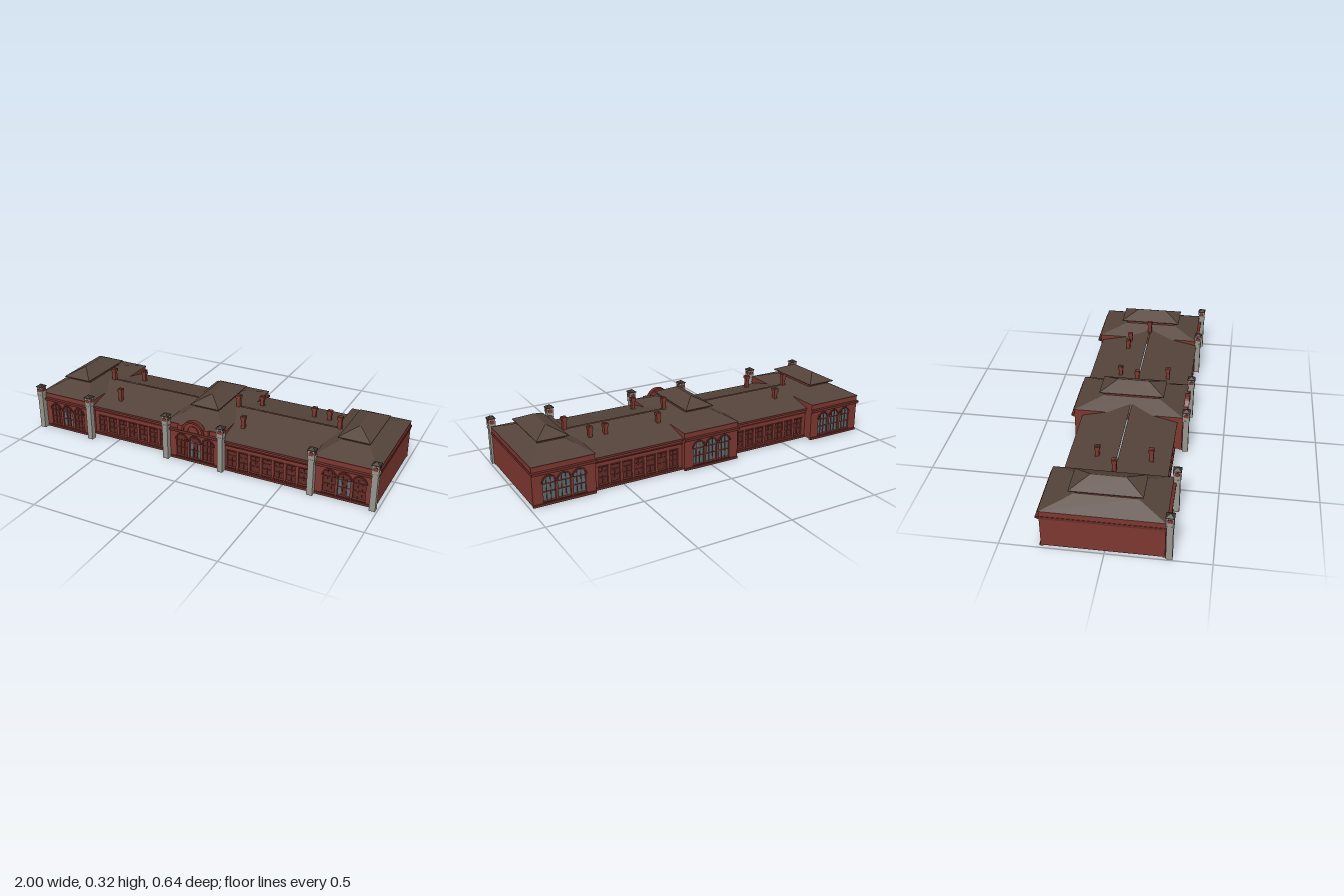
import * as THREE from 'three';

const mat = (color, side = THREE.FrontSide) => new THREE.MeshStandardMaterial({ color, side });
const BRICK = mat(0x7c372f), TRIM = mat(0x6a2d27), PANE = mat(0x5e2a25, THREE.DoubleSide);
const ROOF = mat(0x54433a, THREE.DoubleSide), STONE = mat(0x98958e), GLASS = mat(0x5a6a70, THREE.DoubleSide);
const CAP = mat(0x40332e);

function add(parent, name, geo, material, x = 0, y = 0, z = 0) {
  const m = new THREE.Mesh(geo, material);
  m.name = name;
  m.position.set(x, y, z);
  parent.add(m);
  return m;
}

// box given by its centre in x and z and by its bottom in y
const box = (p, name, material, w, h, d, x, y, z) =>
  add(p, name, new THREE.BoxGeometry(w, h, d), material, x, y + h / 2, z);

function group(parent, name, x = 0, y = 0, z = 0) {
  const g = new THREE.Group();
  g.name = name;
  g.position.set(x, y, z);
  parent.add(g);
  return g;
}

const extrude = (shape, depth) =>
  new THREE.ExtrudeGeometry(shape, { depth, bevelEnabled: false, curveSegments: 10 });

// flat-sided surface through a stack of rectangles [x0, x1, z0, z1, y]
function loft(rects) {
  const pos = [];
  const corners = ([x0, x1, z0, z1, y]) => [[x0, y, z1], [x1, y, z1], [x1, y, z0], [x0, y, z0]];
  for (let i = 0; i < rects.length - 1; i++) {
    const a = corners(rects[i]), b = corners(rects[i + 1]);
    for (let k = 0; k < 4; k++) {
      const n = (k + 1) % 4;
      pos.push(...a[k], ...a[n], ...b[n], ...a[k], ...b[n], ...b[k]);
    }
  }
  const g = new THREE.BufferGeometry();
  g.setAttribute('position', new THREE.Float32BufferAttribute(pos, 3));
  g.computeVertexNormals();
  return g;
}

// rectangular or round-headed outline
function opening(Type, x, w, y0, y1, arched) {
  const s = new Type(), r = w / 2;
  s.moveTo(x - r, y0);
  s.lineTo(x + r, y0);
  if (arched) {
    s.lineTo(x + r, y1 - r);
    s.absarc(x, y1 - r, r, 0, Math.PI, false);
  } else {
    s.lineTo(x + r, y1);
    s.lineTo(x - r, y1);
  }
  s.closePath();
  return s;
}

// half-round moulding
function archRing(r0, r1, depth) {
  const s = new THREE.Shape();
  s.absarc(0, 0, r1, 0, Math.PI, false);
  s.absarc(0, 0, r0, Math.PI, 0, true);
  s.closePath();
  return extrude(s, depth);
}

// wall with a row of windows; outer face on local z = 0
function facade(parent, name, x, z, width, height, back, win) {
  const g = group(parent, name, x, 0, z);
  if (back) g.rotation.y = Math.PI;
  const { count, step, w, y0, y1, arched, pane } = win;
  const wall = new THREE.Shape();
  wall.moveTo(-width / 2, 0);
  wall.lineTo(width / 2, 0);
  wall.lineTo(width / 2, height);
  wall.lineTo(-width / 2, height);
  wall.closePath();
  for (let i = 0; i < count; i++) {
    const cx = (i - (count - 1) / 2) * step;
    wall.holes.push(opening(THREE.Path, cx, w, y0, y1, arched));
    add(g, 'windowPane', new THREE.ShapeGeometry(opening(THREE.Shape, cx, w, y0, y1, arched)), pane, 0, 0, -0.009);
    // mullions, transoms and sill
    const top = arched ? y1 - 0.004 : y1;
    for (const dx of arched ? [-w / 6, w / 6] : [0])
      box(g, 'mullion', TRIM, 0.004, top - y0, 0.004, cx + dx, y0, -0.007);
    for (const t of [0.33, 0.66])
      box(g, 'transom', TRIM, w, 0.004, 0.004, cx, y0 + (y1 - y0) * t, -0.007);
    box(g, 'sill', TRIM, w + 0.006, 0.005, 0.008, cx, y0 - 0.005, 0.002);
    if (arched) add(g, 'hoodMould', archRing(w / 2, w / 2 + 0.007, 0.006), TRIM, cx, y1 - w / 2, 0);
    else box(g, 'lintel', TRIM, w + 0.006, 0.006, 0.006, cx, y1, 0.002);
  }
  add(g, 'wall', extrude(wall, 0.012), BRICK, 0, 0, -0.012);
  box(g, 'plinth', TRIM, width, 0.012, 0.006, 0, 0, 0.003);
  return g;
}

// end or centre block with a two-tier hipped roof
function pavilion(parent, x) {
  const g = group(parent, 'pavilion', x);
  const half = 0.163, zf = 0.28, zb = -0.3, len = zf - zb, zc = (zf + zb) / 2;
  const win = { count: 3, step: 0.078, w: 0.064, y0: 0.022, y1: 0.148, arched: true };
  for (const back of [false, true]) {
    const f = facade(g, back ? 'backFacade' : 'frontFacade', 0, back ? zb : zf, half * 2, 0.21, back,
      { ...win, pane: back ? GLASS : PANE });
    box(f, 'lowerCornice', TRIM, half * 2, 0.006, 0.012, 0, 0.164, 0.006);
    box(f, 'upperCornice', TRIM, half * 2 + 0.006, 0.01, 0.017, 0, 0.17, 0.0085);
    box(f, 'coping', TRIM, half * 2, 0.005, 0.006, 0, 0.205, 0.002);
    // narrow glazed strips beside the middle front window
    if (!back) for (const s of [-1, 1]) box(f, 'sideGlass', GLASS, 0.016, 0.095, 0.002, s * 0.039 - s * 0.016, 0.022, -0.0085);
  }
  return { g, half, len, zc };
}

function pavilionRoof(g) {
  add(g, 'lowerRoof', loft([[-0.165, 0.165, -0.302, 0.282, 0.21], [-0.07, 0.07, -0.15, 0.145, 0.257]]), ROOF);
  box(g, 'clerestory', BRICK, 0.14, 0.02, 0.295, 0, 0.255, -0.0025);
  add(g, 'upperRoof', loft([[-0.065, 0.065, -0.15, 0.145, 0.274], [-0.083, 0.083, -0.178, 0.17, 0.273],
    [-0.083, 0.083, -0.178, 0.17, 0.277], [-0.003, 0.003, -0.09, 0.083, 0.318], [0, 0, 0, 0, 0.318]]), ROOF);
}

// low wing with a gabled roof running into the pavilions
function wing(parent, x0, x1, zf, zb) {
  const g = group(parent, 'wing');
  const cx = (x0 + x1) / 2, w = x1 - x0;
  const win = { count: 7, step: 0.066, w: 0.05, y0: 0.025, y1: 0.118, arched: false, pane: PANE };
  for (const back of [false, true]) {
    const f = facade(g, back ? 'backWall' : 'frontWall', cx, back ? zb : zf, w, 0.175, back, win);
    box(f, 'stringCourse', TRIM, w, 0.005, 0.006, 0, 0.145, 0.003);
    box(f, 'eavesCornice', TRIM, w, 0.012, 0.012, 0, 0.165, 0.006);
  }
  add(g, 'wingRoof', loft([[x0 - 0.065, x1 + 0.065, zb - 0.013, zf + 0.013, 0.177],
    [x0 - 0.065, x1 + 0.065, -0.003, 0.003, 0.238]]), ROOF);
}

// stone pier with a niched head and pyramid cap
function pier(parent, x) {
  const g = group(parent, 'cornerPier', x, 0, 0.299);
  box(g, 'shaft', STONE, 0.031, 0.2, 0.031, 0, 0, 0);
  box(g, 'collar', STONE, 0.038, 0.006, 0.038, 0, 0.196, 0);
  box(g, 'head', STONE, 0.036, 0.05, 0.036, 0, 0.2, 0);
  for (let i = 0; i < 4; i++) {
    const side = group(g, 'nicheSide');
    side.rotation.y = i * Math.PI / 2;
    add(side, 'niche', new THREE.ShapeGeometry(opening(THREE.Shape, 0, 0.024, 0.222, 0.243, true)), BRICK, 0, 0, 0.0185);
    add(side, 'nicheArch', archRing(0.01, 0.013, 0.002), TRIM, 0, 0.231, 0.018);
  }
  box(g, 'capSlab', CAP, 0.042, 0.004, 0.042, 0, 0.249, 0);
  add(g, 'cap', loft([[-0.021, 0.021, -0.021, 0.021, 0.253], [0, 0, 0, 0, 0.266]]), CAP);
}

function chimney(parent, x, z, top) {
  const g = group(parent, 'chimney', x, 0, z);
  box(g, 'stack', BRICK, 0.02, top - 0.195, 0.02, 0, 0.195, 0);
  box(g, 'stackHead', BRICK, 0.027, 0.016, 0.027, 0, top - 0.018, 0);
  box(g, 'flue', CAP, 0.018, 0.003, 0.018, 0, top - 0.003, 0);
}

// round gable above the middle entrance
function pediment(parent) {
  const g = group(parent, 'pediment', -0.004, 0.183, 0.28);
  box(g, 'shoulders', BRICK, 0.18, 0.028, 0.018, 0, 0, 0.009);
  const disc = new THREE.Shape();
  disc.absarc(0, 0, 0.062, 0, Math.PI, false);
  disc.closePath();
  add(g, 'gable', extrude(disc, 0.018), BRICK);
  add(g, 'outerArch', archRing(0.054, 0.066, 0.026), TRIM, 0, 0, -0.002);
  add(g, 'innerArch', archRing(0.028, 0.034, 0.005), TRIM, 0, 0.004, 0.018);
}

export function createModel() {
  const model = new THREE.Group();
  model.name = 'longBrickBuilding';

  for (const x of [-0.823, -0.003, 0.82]) {
    const { g, half, len, zc } = pavilion(model, x);
    for (const s of [-1, 1]) {
      // full end walls outside, short returns above and beside the wings inside
      const outer = s * x > 0.5;
      if (outer) {
        box(g, 'endWall', BRICK, 0.01, 0.205, len, s * (half - 0.005), 0.005, zc);
        box(g, 'endBand', TRIM, 0.004, 0.015, len, s * half, 0.165, zc);
      } else {
        box(g, 'upperSideWall', BRICK, 0.01, 0.04, len, s * (half - 0.005), 0.17, zc);
        for (const [z, d] of [[0.255, 0.05], [-0.27, 0.06]])
          box(g, 'sideReturn', BRICK, 0.01, 0.205, d, s * (half - 0.005), 0.005, z);
      }
    }
    pavilionRoof(g);
  }

  wing(model, -0.662, -0.164, 0.24, -0.245);
  wing(model, 0.158, 0.659, 0.277, -0.276);
  pediment(model);

  for (const x of [-0.979, -0.652, -0.164, 0.16, 0.656, 0.977]) pier(model, x);

  for (const [x, z, top] of [[-0.68, 0, 0.305], [-0.545, -0.107, 0.272], [-0.535, 0.16, 0.272],
    [0.118, 0, 0.305], [0.21, -0.107, 0.272], [0.222, 0.16, 0.272],
    [0.512, -0.107, 0.272], [0.597, -0.107, 0.272], [0.69, 0, 0.305]]) chimney(model, x, z, top);

  return model;
}
